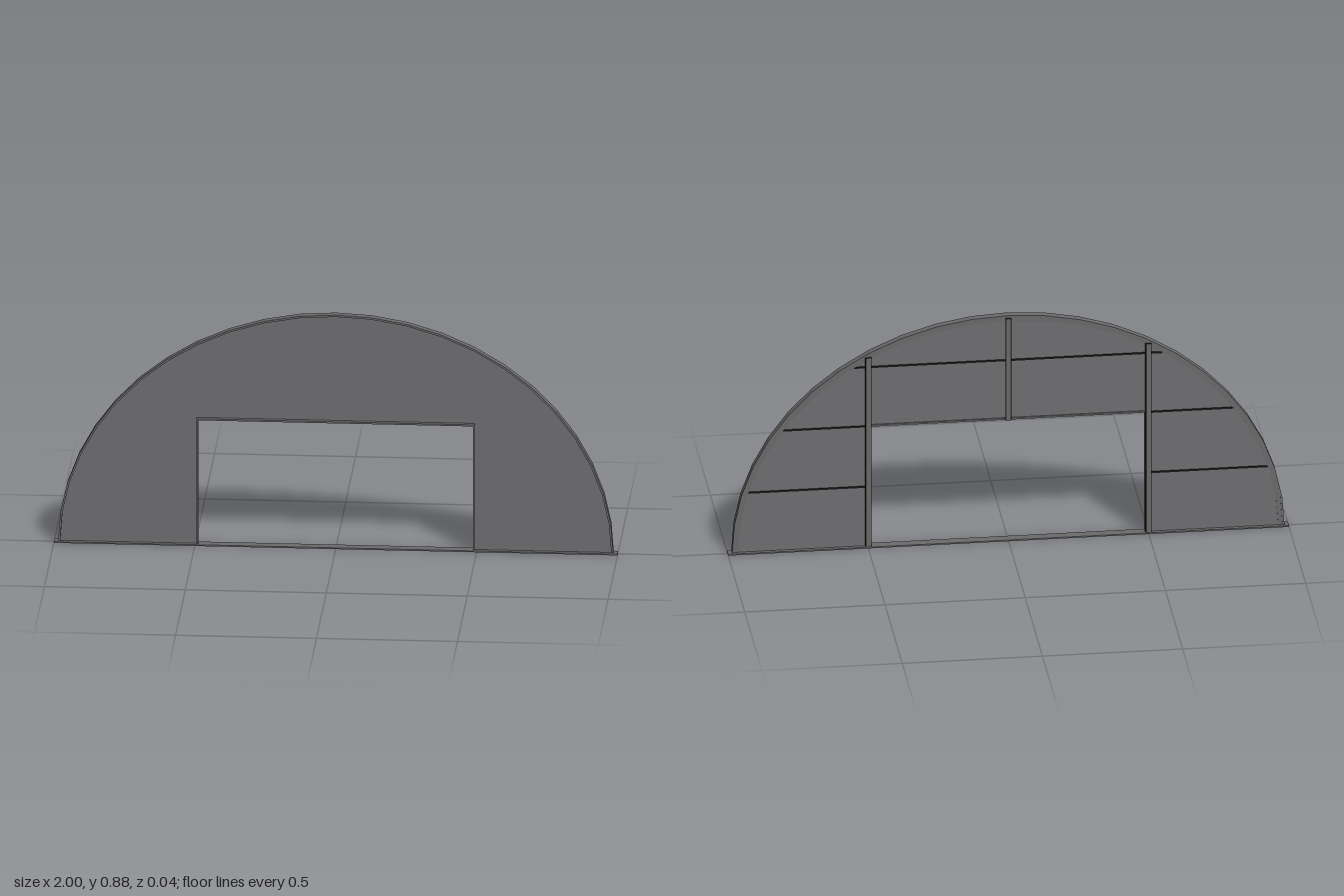
import * as THREE from 'three';

const RX = 0.985, RY = 0.875, SEGMENTS = 24;
const OPEN_X = 0.488, OPEN_Y = 0.47;

// Points of the faceted half-ellipse, inset from the outer edge, from +x to -x
function archPoints(inset) {
  return Array.from({ length: SEGMENTS + 1 }, (_, i) => {
    const a = (i / SEGMENTS) * Math.PI;
    return new THREE.Vector2(Math.cos(a) * (RX - inset), Math.sin(a) * (RY - inset));
  });
}

const archHeight = (x, inset) => (RY - inset) * Math.sqrt(1 - (x / (RX - inset)) ** 2);
const archHalfWidth = (y, inset) => (RX - inset) * Math.sqrt(1 - (y / (RY - inset)) ** 2);

export function createModel() {
  const group = new THREE.Group();
  const makeMaterial = (name, color) => {
    const m = new THREE.MeshStandardMaterial({ color });
    m.name = name;
    return m;
  };
  const sheet = makeMaterial('sheet grey', 0x717173);
  const steel = makeMaterial('steel grey', 0x6b6b6d);
  const shadowBrown = makeMaterial('dark brown', 0x2b231d);
  const black = makeMaterial('seam black', 0x1a1a1b);

  const add = (name, geometry, material) => {
    const mesh = new THREE.Mesh(geometry, material);
    mesh.name = name;
    group.add(mesh);
  };
  // Box given by its limits on each axis
  const box = (name, x0, x1, y0, y1, z0, z1, material) => {
    const g = new THREE.BoxGeometry(x1 - x0, y1 - y0, z1 - z0);
    g.translate((x0 + x1) / 2, (y0 + y1) / 2, (z0 + z1) / 2);
    add(name, g, material);
  };
  const extrude = (name, points, z0, z1, material) => {
    const g = new THREE.ExtrudeGeometry(new THREE.Shape(points), { depth: z1 - z0, bevelEnabled: false });
    g.translate(0, 0, z0);
    add(name, g, material);
  };
  const archBand = (name, outer, inner, z0, z1, material) =>
    extrude(name, [...archPoints(outer), ...archPoints(inner).reverse()], z0, z1, material);

  // Wall sheet with the door opening cut up from the ground
  const p = (x, y) => new THREE.Vector2(x, y);
  extrude('wallSheet', [
    ...archPoints(0.004),
    p(-OPEN_X, 0), p(-OPEN_X, OPEN_Y), p(OPEN_X, OPEN_Y), p(OPEN_X, 0),
  ], -0.004, 0.002, sheet);

  // Arched edge channel
  archBand('archRim', 0, 0.007, -0.01, 0.018, steel);
  archBand('archBackFlange', 0.007, 0.022, -0.007, -0.004, steel);

  // Base track
  box('baseTrack', -1, 1, 0, 0.005, -0.018, 0.018, steel);

  // Door frame and full-height posts on both sides
  for (const s of [-1, 1]) {
    const jamb = [s * OPEN_X, s * (OPEN_X + 0.006)].sort((a, b) => a - b);
    box('doorJamb', ...jamb, 0.005, OPEN_Y + 0.006, -0.01, 0.018, steel);
    const x = s * (OPEN_X + 0.011);
    const top = archHeight(OPEN_X + 0.022, 0.008);
    box('sidePost', x - 0.011, x + 0.011, 0.006, top, -0.0155, -0.004, shadowBrown);
    box('sidePostFace', x - 0.008, x + 0.008, 0.006, top, -0.0165, -0.0155, steel);
  }
  box('doorHead', -OPEN_X, OPEN_X, OPEN_Y, OPEN_Y + 0.006, -0.01, 0.018, steel);

  // Short post above the door
  box('centrePost', -0.01, 0.01, OPEN_Y, 0.864, -0.0155, -0.004, shadowBrown);
  box('centrePostFace', -0.007, 0.007, OPEN_Y, 0.864, -0.0165, -0.0155, steel);

  // Horizontal seams across the back
  for (const y of [0.235, 0.47, 0.7]) {
    const end = archHalfWidth(y, 0.022);
    const spans = y < 0.6 ? [[-end, -OPEN_X], [OPEN_X, end]] : [[-end, end]];
    for (const [x0, x1] of spans) box('backSeam', x0, x1, y - 0.003, y + 0.003, -0.008, -0.004, black);
  }

  return group;
}
